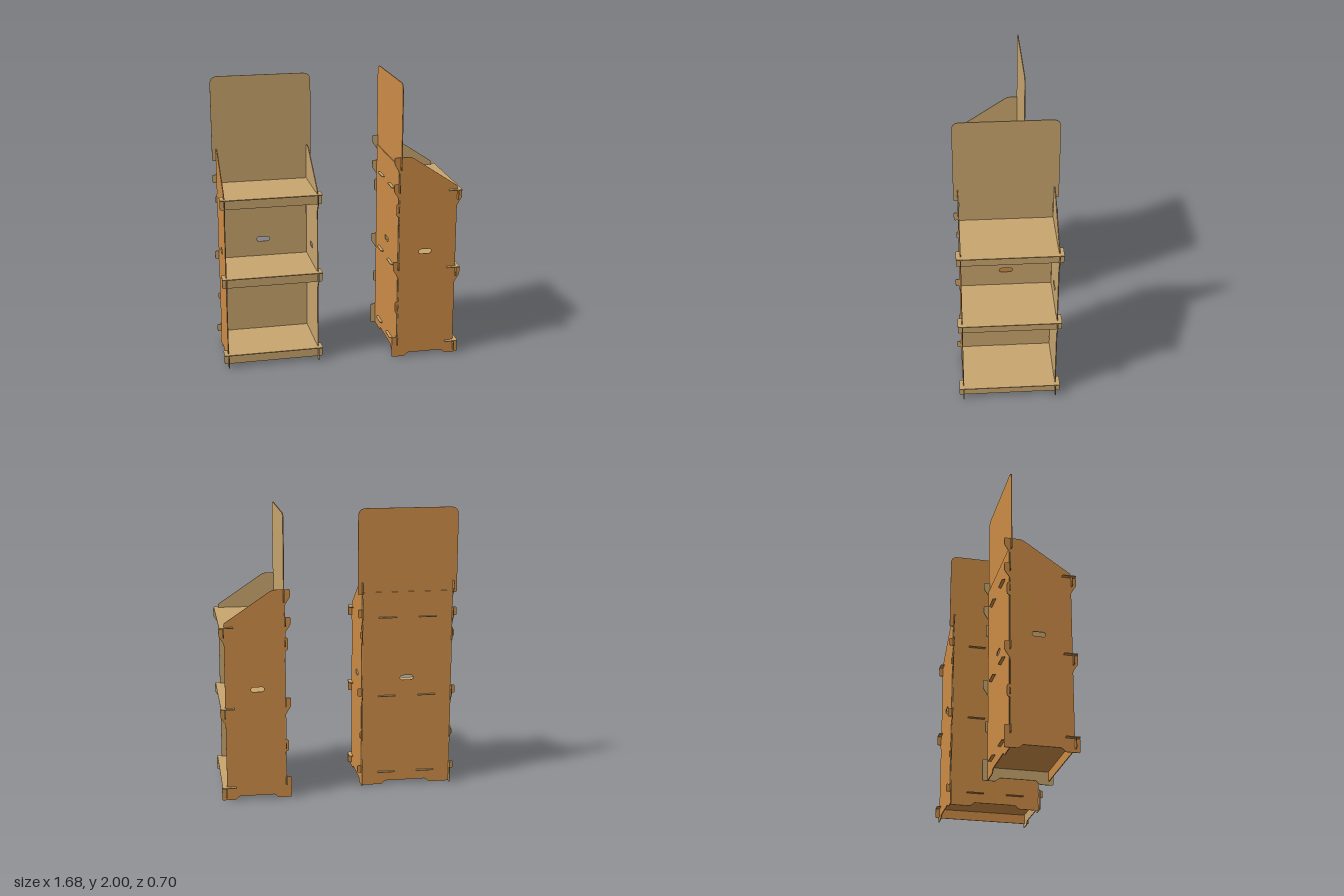
import * as THREE from 'three';

const T = 0.006; // board thickness
const tan = new THREE.MeshStandardMaterial({ color: 0xc8a56e });
const brown = new THREE.MeshStandardMaterial({ color: 0xcd8c46 });

// Closed outline with every corner softened; a point is [x, y, radius]
function outline(points) {
  const shape = new THREE.Shape();
  const n = points.length;
  const toward = (a, b, r) => {
    const dx = b[0] - a[0], dy = b[1] - a[1], len = Math.hypot(dx, dy);
    const k = Math.min(r, len * 0.45) / len;
    return [a[0] + dx * k, a[1] + dy * k];
  };
  points.forEach((p, i) => {
    const r = p[2] ?? 0.01;
    const a = toward(p, points[(i + n - 1) % n], r);
    const b = toward(p, points[(i + 1) % n], r);
    if (i === 0) shape.moveTo(...a);
    else shape.lineTo(...a);
    shape.quadraticCurveTo(p[0], p[1], ...b);
  });
  shape.closePath();
  return shape;
}

// Right half of an outline, listed bottom to top, mirrored to a whole one
const mirrored = (half) => [...half, ...half.map(([x, y, r]) => [-x, y, r]).reverse()];

function handHole(cx, cy, w, h) {
  const hole = new THREE.Path();
  const r = h / 2, s = w / 2 - r;
  hole.absarc(cx + s, cy, r, -Math.PI / 2, Math.PI / 2, false);
  hole.absarc(cx - s, cy, r, Math.PI / 2, Math.PI * 1.5, false);
  hole.closePath();
  return hole;
}

// Cardboard sheet: one face tan, the other brown
function sheet(name, points, hole, tanInFront = true) {
  const shape = outline(points);
  if (hole) shape.holes.push(hole);
  const geo = new THREE.ExtrudeGeometry(shape, { depth: T, bevelEnabled: false, curveSegments: 6 });
  geo.translate(0, 0, -T / 2);
  const caps = geo.groups[0].count, total = geo.attributes.position.count;
  geo.clearGroups();
  geo.addGroup(0, caps / 2, tanInFront ? 1 : 0);
  geo.addGroup(caps / 2, caps / 2, tanInFront ? 0 : 1);
  geo.addGroup(caps, total - caps, 0);
  const mesh = new THREE.Mesh(geo, [tan, brown]);
  mesh.name = name;
  return mesh;
}

// Side profile as [depth, height]
const sideProfile = [
  [-0.041, 0], [0.052, 0], [0.077, 0.025], [0.327, 0.025], [0.352, 0], [0.447, 0],
  [0.447, 0.095], [0.412, 0.095, 0.002],
  [0.412, 0.55], [0.447, 0.605], [0.447, 0.665], [0.412, 0.665, 0.002],
  [0.412, 1.12], [0.447, 1.175], [0.447, 1.235], [0.412, 1.235, 0.002],
  [0.412, 1.262], [0.08, 1.485, 0.025], [-0.041, 1.485],
  [-0.041, 1.435], [0, 1.37], [0, 1.295, 0.002], [-0.041, 1.295], [-0.041, 1.24], [0, 1.18],
  [0, 1.15, 0.002], [-0.023, 1.15], [-0.023, 1.065], [0, 1.055, 0.002],
  [0, 0.725, 0.002], [-0.041, 0.725], [-0.041, 0.665], [0, 0.6],
  [0, 0.425, 0.002], [-0.023, 0.42], [-0.023, 0.345], [0, 0.335, 0.002],
  [0, 0.15, 0.002], [-0.041, 0.15],
];

// Back panel, right half: foot, locking tabs and straight top
const backHalf = [[0.15, 0.025], [0.175, 0], [0.318, 0]];
for (const [y0, y1, x] of [[0.095, 0.15, 0.352], [0.355, 0.4, 0.337], [0.665, 0.725, 0.352],
  [1.087, 1.135, 0.337], [1.235, 1.295, 0.352]]) {
  backHalf.push([0.318, y0, 0.002], [x, y0], [x, y1], [0.318, y1, 0.002]);
}
backHalf.push([0.318, 1.415, 0.002]);

const headerHalf = [[0.316, 1.237, 0.002], [0.316, 1.4, 0.002], [0.352, 1.4], [0.352, 2, 0.055]];

// Shelf, right half: front ear, and tab through the back panel
const shelfHalf = [
  [0.352, -0.443], [0.352, -0.35], [0.318, -0.35, 0.002], [0.318, 0, 0.002],
  [0.205, 0, 0.002], [0.205, 0.028], [0.08, 0.028], [0.08, 0, 0.002],
];
const lipHalf = [[0.352, -0.07], [0.352, -0.002, 0.006]];

function createStand(name) {
  const stand = new THREE.Group();
  stand.name = name;

  // Two mirrored sides, brown outside
  for (const s of [1, -1]) {
    const side = sheet(s > 0 ? 'leftSide' : 'rightSide', sideProfile, handHole(0.189, 0.793, 0.09, 0.033), s > 0);
    side.rotation.y = -Math.PI / 2;
    side.position.x = s * 0.322;
    stand.add(side);
  }

  // Back panel and the header board slotted in front of it
  const back = sheet('backPanel', mirrored(backHalf), handHole(0, 0.793, 0.094, 0.033));
  back.position.z = -0.004;
  const header = sheet('headerBoard', mirrored(headerHalf));
  header.position.z = 0.004;
  stand.add(back, header);

  // Shelves with a hanging front lip
  [0.095, 0.665, 1.235].forEach((y, i) => {
    const shelf = sheet(`shelf${i + 1}`, mirrored(shelfHalf));
    shelf.rotation.x = -Math.PI / 2;
    shelf.position.y = y;
    const lip = sheet(`shelfLip${i + 1}`, mirrored(lipHalf));
    lip.position.set(0, y, 0.415);
    stand.add(shelf, lip);
  });
  return stand;
}

export function createModel() {
  const model = new THREE.Group();
  model.name = 'displayStands';

  // One stand faces the front, the other faces +x
  const frontStand = createStand('frontFacingStand');
  frontStand.position.set(-0.492, 0, -0.169);
  const sideStand = createStand('sideFacingStand');
  sideStand.rotation.y = Math.PI / 2;
  sideStand.position.set(0.393, 0, -0.001);

  model.add(frontStand, sideStand);
  return model;
}
